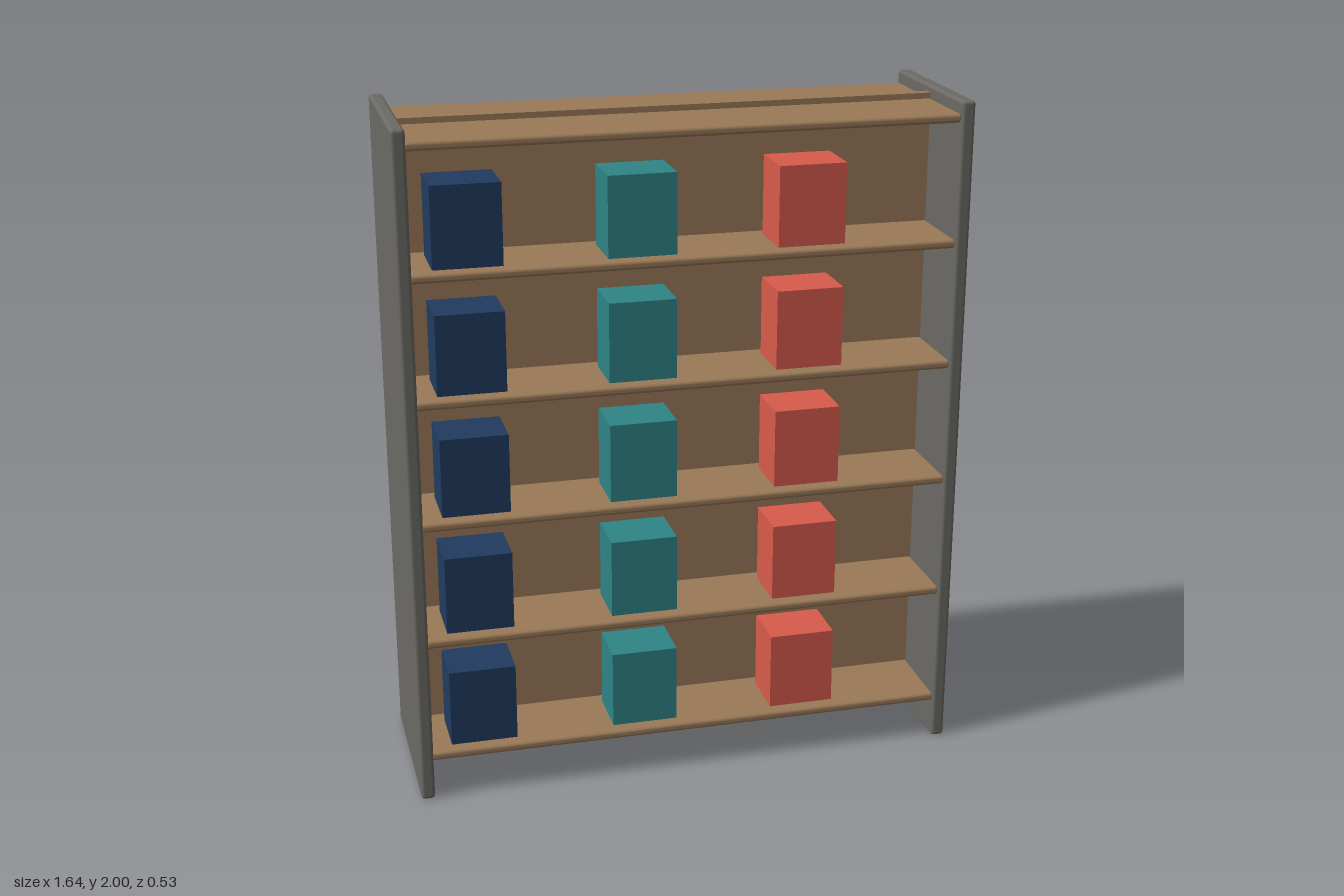
import * as THREE from 'three';
import { RoundedBoxGeometry } from 'three/addons/geometries/RoundedBoxGeometry.js';

function material(name, color) {
  const m = new THREE.MeshStandardMaterial({ color });
  m.name = name;
  return m;
}

export function createModel() {
  const group = new THREE.Group();
  const wood = material('wood', 0x9a7a58);
  const grey = material('grey panel', 0x6b6a65);
  const navy = material('navy', 0x203b60);
  const teal = material('teal', 0x2e8486);
  const red = material('red', 0xd85b4b);

  const add = (name, geometry, mat, x, y, z) => {
    const mesh = new THREE.Mesh(geometry, mat);
    mesh.name = name;
    mesh.position.set(x, y, z);
    group.add(mesh);
  };

  // End panels with softened edges
  const panel = new RoundedBoxGeometry(0.04, 2, 0.526, 3, 0.01);
  add('leftPanel', panel, grey, 0.8, 1, 0);
  add('rightPanel', panel, grey, -0.8, 1, 0);

  // Central divider between the two sides
  add('divider', new THREE.BoxGeometry(1.56, 1.95, 0.03), wood, 0, 1.005, 0);

  // Shelves, with a row of boxes on each side of all but the top one
  const shelf = new RoundedBoxGeometry(1.57, 0.026, 0.506, 3, 0.01);
  const box = new THREE.BoxGeometry(0.197, 0.235, 0.16);
  const columns = [-0.62, -0.13, 0.363];
  const frontColours = [navy, teal, red];
  const backColours = [teal, navy, red];
  for (let i = 0; i < 6; i++) {
    const y = 0.132 + i * 0.36;
    const level = y + i * 0.0036;
    add('shelf', shelf, wood, 0, level, 0);
    if (i === 5) continue;
    columns.forEach((x, c) => {
      add('frontBox', box, frontColours[c], x, level + 0.13, 0.133);
      add('backBox', box, backColours[c], -x, level + 0.13, -0.133);
    });
  }
  return group;
}
